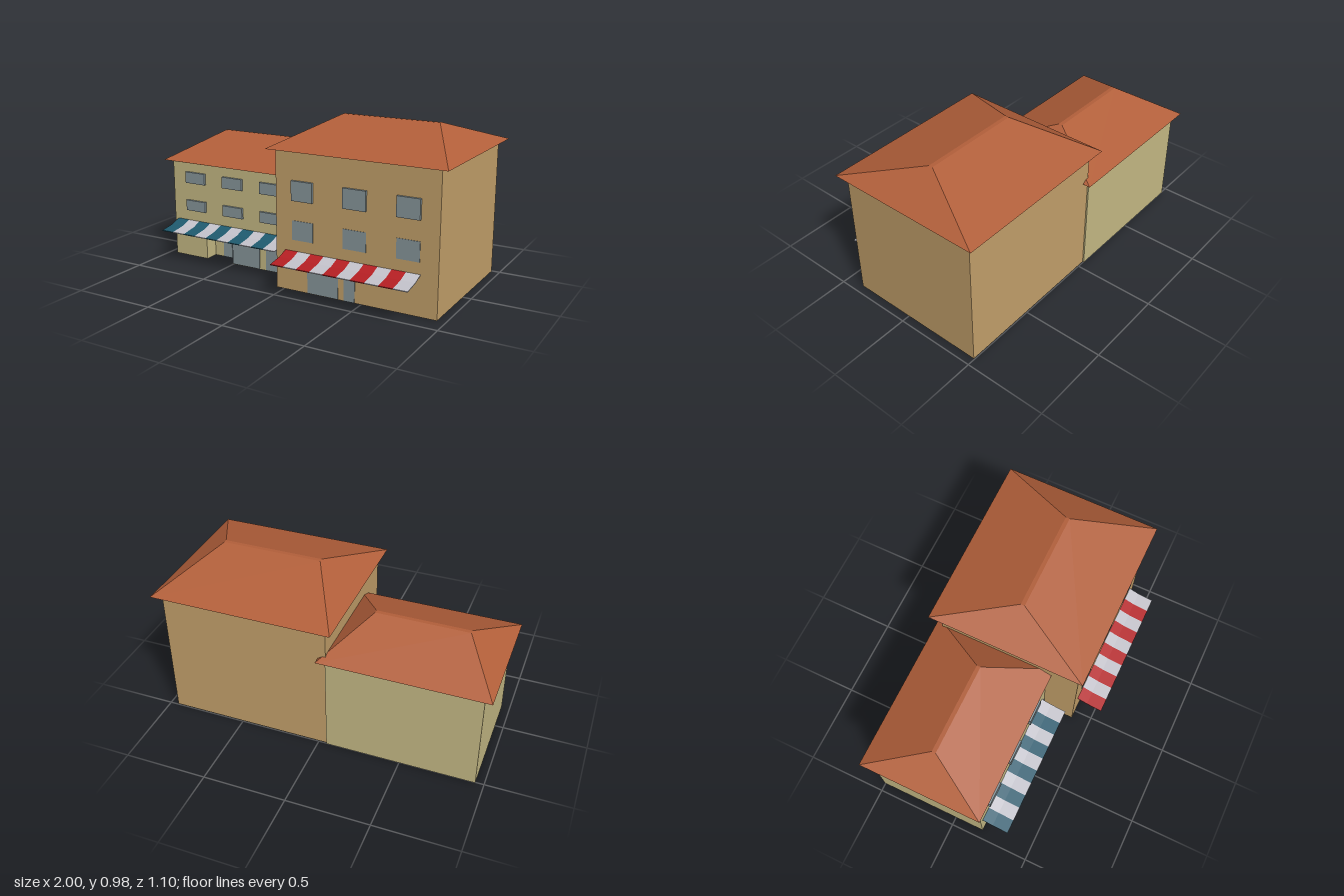
import * as THREE from 'three';

const mat = (name, color, side = THREE.FrontSide) => {
  const m = new THREE.MeshStandardMaterial({ color, side });
  m.name = name;
  return m;
};

export function createModel() {
  const root = new THREE.Group();
  const tan = mat('tan plaster', 0xc4a16b, THREE.DoubleSide);
  const olive = mat('olive plaster', 0xc6ba85, THREE.DoubleSide);
  const tile = mat('roof tile', 0xb25f3a);
  const glass = mat('window glass', 0x87969b);
  const red = mat('red cloth', 0xb51f23);
  const teal = mat('teal cloth', 0x1f5a6e);
  const white = mat('pale cloth', 0xc3c2ca);

  const add = (parent, name, geometry, material) => {
    const m = new THREE.Mesh(geometry, material);
    m.name = name;
    parent.add(m);
    return m;
  };

  // Box keeping only some sides: 0 +x, 1 -x, 2 +y, 3 -y, 4 +z, 5 -z
  const boxSides = (x0, x1, y0, y1, z0, z1, keep) => {
    const g = new THREE.BoxGeometry(x1 - x0, y1 - y0, z1 - z0);
    const index = Array.from(g.index.array);
    g.setIndex(keep.flatMap(k => index.slice(k * 6, k * 6 + 6)));
    g.clearGroups();
    return g.translate((x0 + x1) / 2, (y0 + y1) / 2, (z0 + z1) / 2);
  };

  // Hipped roof: rectangular eave, narrow flat ridge, flat underside
  const hipRoof = (e, r, y0, y1) => {
    const ring = ([x0, x1, z0, z1], y) => [[x0, y, z1], [x1, y, z1], [x1, y, z0], [x0, y, z0]];
    const low = ring(e, y0), top = ring(r, y1), pos = [];
    const quad = (a, b, c, d) => pos.push(...a, ...b, ...c, ...a, ...c, ...d);
    for (let i = 0; i < 4; i++) {
      const j = (i + 1) % 4;
      quad(low[i], low[j], top[j], top[i]);
    }
    quad(...top);
    quad(...[...low].reverse());
    const g = new THREE.BufferGeometry();
    g.setAttribute('position', new THREE.Float32BufferAttribute(pos, 3));
    g.computeVertexNormals();
    return g;
  };

  // Shallow pane standing out of a wall, open at its back
  const pane = (parent, name, x0, x1, y0, y1, z, out) =>
    add(parent, name, boxSides(x0, x1, y0, y1, z - 0.006, z + out, [0, 1, 2, 3, 4]), glass);

  // Striped awning: one extruded strip per stripe
  const awning = (parent, x0, x1, z, colour) => {
    const group = new THREE.Group();
    group.name = 'awning';
    parent.add(group);
    const line = [[-0.008, 0.243], [0.065, 0.216], [0.163, 0.2]];
    const under = line.map(([d, y]) => [d, y - 0.005]).reverse();
    const shape = new THREE.Shape([...line, ...under].map(p => new THREE.Vector2(...p)));
    const n = 10, w = (x1 - x0) / n;
    for (let i = 0; i < n; i++) {
      const g = new THREE.ExtrudeGeometry(shape, { depth: w, bevelEnabled: false });
      g.rotateY(-Math.PI / 2).translate(x0 + (i + 1) * w, 0, z);
      add(group, 'awningStripe', g, i % 2 ? white : colour);
    }
  };

  // Tall house
  const tall = new THREE.Group();
  tall.name = 'tallHouse';
  root.add(tall);
  const tz = 0.385;
  add(tall, 'tallWalls', boxSides(-0.05, 0.95, 0, 0.825, -0.495, tz, [0, 1, 4, 5]), tan);
  add(tall, 'tallRoof', hipRoof([-0.097, 0.997, -0.547, 0.424], [0.145, 0.755, -0.073, -0.049], 0.825, 0.975), tile);
  for (const [x0, x1] of [[0.058, 0.192], [0.383, 0.525], [0.705, 0.842]]) {
    pane(tall, 'upperWindow', x0, x1, 0.54, 0.656, tz, 0.015);
    pane(tall, 'middleWindow', x0, x1, 0.307, 0.422, tz, 0.003);
  }
  pane(tall, 'shopWindow', 0.157, 0.355, 0.003, 0.155, tz, 0.004);
  pane(tall, 'shopDoor', 0.392, 0.46, 0.002, 0.137, tz, 0.005);
  awning(tall, 0.01, 0.848, tz, red);

  // Low house, its front wall cut by an arched doorway
  const low = new THREE.Group();
  low.name = 'lowHouse';
  root.add(low);
  const lz = 0.185, back = 0.095;
  const arch = [[-0.705, 0]];
  for (let i = 0; i <= 8; i++) {
    const t = i / 4 - 1;
    arch.push([-0.605 + t * 0.1, 0.163 + 0.022 * (1 - t * t)]);
  }
  arch.push([-0.505, 0]);
  const V = p => new THREE.Vector2(...p);
  const front = new THREE.Shape([[-0.95, 0], ...arch, [-0.049, 0], [-0.049, 0.625], [-0.95, 0.625]].map(V));
  add(low, 'lowFrontWall', new THREE.ShapeGeometry(front).translate(0, 0, lz), olive);
  add(low, 'lowWalls', boxSides(-0.95, -0.049, 0, 0.625, -0.504, lz, [0, 1, 5]), olive);

  // Doorway recess: jambs and vault, then its back wall
  const pos = [];
  for (let i = 0; i < arch.length - 1; i++) {
    const a = arch[i], b = arch[i + 1];
    pos.push(...a, lz, ...b, back, ...a, back, ...a, lz, ...b, lz, ...b, back);
  }
  const vault = new THREE.BufferGeometry();
  vault.setAttribute('position', new THREE.Float32BufferAttribute(pos, 3));
  vault.computeVertexNormals();
  // Normals must face the opening
  const nrm = vault.attributes.normal;
  if (nrm.getX(0) < 0) {
    for (let i = 0; i < pos.length; i += 9) {
      for (let k = 0; k < 3; k++) [pos[i + 3 + k], pos[i + 6 + k]] = [pos[i + 6 + k], pos[i + 3 + k]];
    }
    vault.setAttribute('position', new THREE.Float32BufferAttribute(pos, 3));
    vault.computeVertexNormals();
  }
  add(low, 'doorwayRecess', vault, olive);
  add(low, 'doorwayBack', new THREE.ShapeGeometry(new THREE.Shape(arch.map(V))).translate(0, 0, back), olive);
  pane(low, 'houseDoor', -0.635, -0.57, 0.002, 0.138, back, 0.006);

  add(low, 'lowRoof', hipRoof([-0.998, -0.004, -0.541, 0.218], [-0.78, -0.225, -0.174, -0.15], 0.623, 0.775), tile);
  for (const x of [-0.773, -0.493, -0.217]) {
    pane(low, 'upperWindow', x - 0.073, x + 0.073, 0.487, 0.558, lz, 0.015);
    pane(low, 'middleWindow', x - 0.073, x + 0.073, 0.308, 0.375, lz, 0.015);
  }
  pane(low, 'shopWindow', -0.503, -0.302, 0.003, 0.155, lz, 0.004);
  pane(low, 'shopWindow', -0.255, -0.056, 0.003, 0.155, lz, 0.004);
  awning(low, -0.927, -0.09, lz, teal);

  return root;
}
